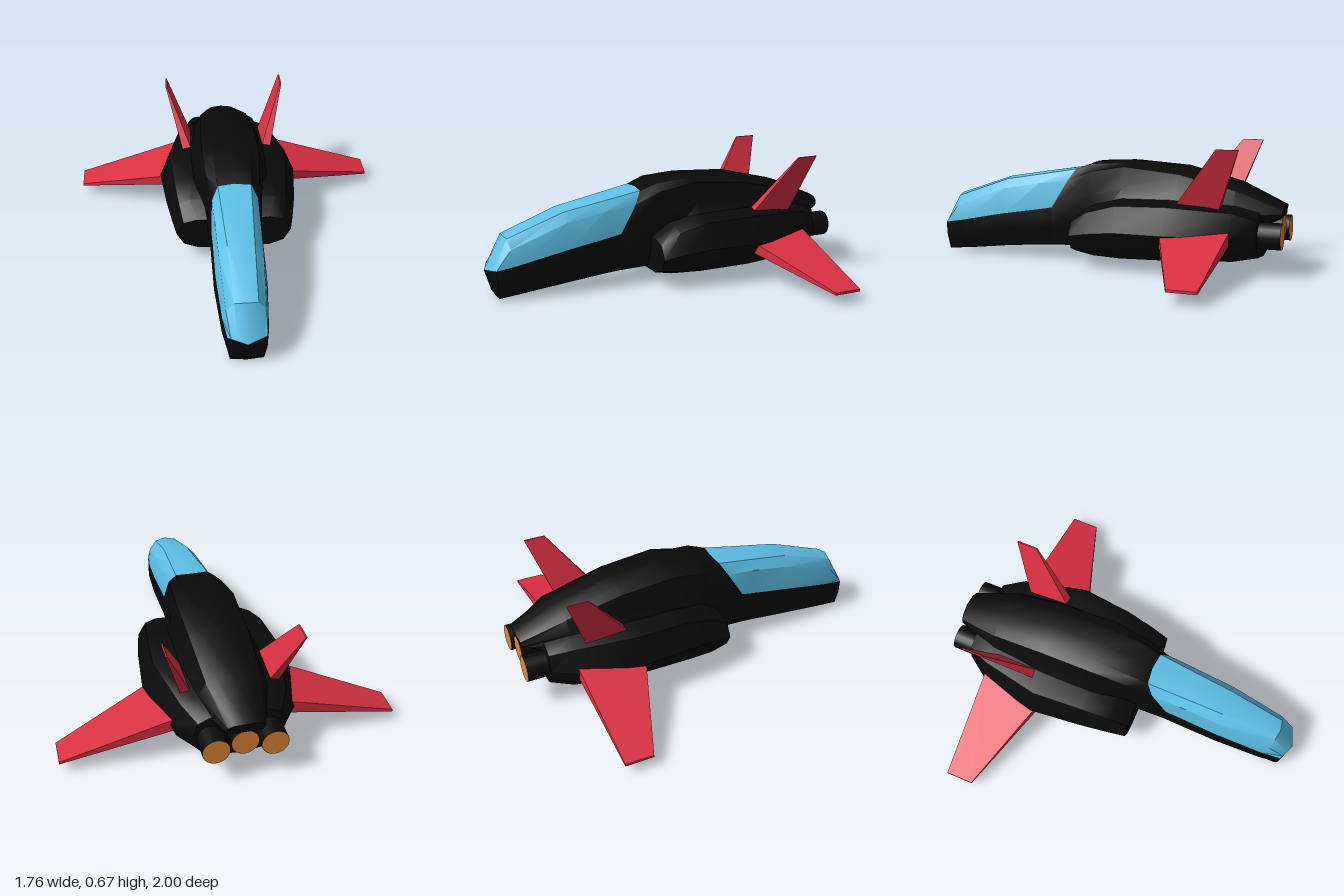
import * as THREE from 'three';
import { toCreasedNormals } from 'three/addons/utils/BufferGeometryUtils.js';

const paint = (name, color) => {
  const m = new THREE.MeshStandardMaterial({ color });
  m.name = name;
  return m;
};

// Mirror a half section (listed top to bottom on +x) into a full one.
function fullSection(half) {
  const flip = half.map(([x, y, z]) => [-x, y, z]).reverse();
  return half[0][0] === 0 ? [...flip, ...half.slice(1)] : [...half, ...flip.slice(1)];
}

// Skin between half sections, nose to tail; optional cap centres close the ends.
function loft(halves, frontCap, backCap) {
  const rings = halves.map(fullSection);
  const n = rings[0].length;
  const pos = rings.flat(2);
  const index = [];
  for (let i = 0; i < rings.length - 1; i++) {
    for (let j = 0; j < n - 1; j++) {
      const a = i * n + j, c = a + n;
      index.push(a, a + 1, c, a + 1, c + 1, c);
    }
  }
  const cap = (centre, start, front) => {
    if (!centre) return;
    const mid = pos.length / 3;
    pos.push(...centre);
    for (let j = start; j < start + n - 1; j++) {
      index.push(mid, front ? j + 1 : j, front ? j : j + 1);
    }
  };
  cap(frontCap, 0, true);
  cap(backCap, (rings.length - 1) * n, false);
  const geo = new THREE.BufferGeometry();
  geo.setAttribute('position', new THREE.Float32BufferAttribute(pos, 3));
  geo.setIndex(index);
  return toCreasedNormals(geo, 0.6);
}

// Tapered slab from 8 corners, indexed outboard*4 + top*2 + front.
function slab(corners, side) {
  const geo = new THREE.BoxGeometry(1, 1, 1);
  const p = geo.attributes.position;
  for (let i = 0; i < p.count; i++) {
    const k = (p.getX(i) * side > 0 ? 4 : 0) + (p.getY(i) > 0 ? 2 : 0) + (p.getZ(i) > 0 ? 1 : 0);
    const [x, y, z] = corners[k];
    p.setXYZ(i, x * side, y, z);
  }
  geo.computeVertexNormals();
  return geo;
}

// Add one z to a list of [x, y] points.
const at = (z, pts) => pts.map(([x, y]) => [x, y, z]);

export function createModel() {
  const black = paint('hull black', 0x0a0a0a);
  const blue = paint('canopy blue', 0x5fc3ea);
  const red = paint('wing red', 0xd93042);
  const orange = paint('exhaust orange', 0xe08836);

  const model = new THREE.Group();
  model.name = 'spacecraft';
  const add = (name, geo, mat) => {
    const mesh = new THREE.Mesh(geo, mat);
    mesh.name = name;
    model.add(mesh);
    return mesh;
  };

  // Nose: the first four points of each section are glass, the rest hull
  const nose = [
    [[0, 0.16, 1], [0.05, 0.1675, 0.98], [0.08, 0.172, 0.968], [0.1, 0.175, 0.96],
      [0.1, 0.1, 0.955], [0.085, 0.02, 0.945], [0, 0.005, 0.94]],
    [[0, 0.34, 0.9], [0.06, 0.33, 0.89], [0.1, 0.28, 0.88], [0.115, 0.195, 0.85],
      [0.118, 0.11, 0.85], [0.09, 0.03, 0.85], [0, 0.013, 0.85]],
    at(0.58, [[0, 0.45], [0.07, 0.44], [0.115, 0.39], [0.132, 0.25],
      [0.14, 0.16], [0.1, 0.06], [0, 0.045]]),
    at(0.36, [[0, 0.487], [0.08, 0.478], [0.12, 0.43], [0.132, 0.285],
      [0.14, 0.18], [0.1, 0.08], [0, 0.06]]),
    [[0, 0.52, 0.14], [0.09, 0.515, 0.15], [0.125, 0.45, 0.19], [0.134, 0.3, 0.28],
      [0.14, 0.19, 0.28], [0.1, 0.085, 0.28], [0, 0.067, 0.28]],
  ];
  add('canopy', loft(nose.map((s) => s.slice(0, 4))), blue);
  add('noseHull', loft(nose.map((s) => s.slice(3)), [0, 0.16, 1]), black);

  // Raised spine running from the canopy to the tail
  add('spine', loft([
    nose[4],
    at(0.05, [[0, 0.555], [0.1, 0.55], [0.145, 0.51], [0.16, 0.38], [0.15, 0.2], [0.1, 0.09], [0, 0.075]]),
    at(-0.15, [[0, 0.57], [0.1, 0.56], [0.16, 0.545], [0.185, 0.43], [0.22, 0.36], [0.15, 0.15], [0, 0.1]]),
    at(-0.45, [[0, 0.55], [0.1, 0.54], [0.155, 0.515], [0.19, 0.42], [0.23, 0.36], [0.15, 0.15], [0, 0.1]]),
    at(-0.75, [[0, 0.47], [0.09, 0.465], [0.14, 0.44], [0.175, 0.37], [0.2, 0.32], [0.14, 0.2], [0, 0.15]]),
    [[0, 0.36, -1], [0.06, 0.355, -0.995], [0.09, 0.34, -0.99], [0.1, 0.32, -0.985],
      [0.09, 0.305, -0.985], [0.06, 0.3, -0.985], [0, 0.3, -0.985]],
  ], null, [0, 0.325, -0.99]), black);

  // Broad body with blunt front shoulders
  add('body', loft([
    at(0.11, [[0, 0.25], [0.2, 0.27], [0.28, 0.25], [0.32, 0.18], [0.28, 0.11], [0.2, 0.08], [0, 0.075]]),
    at(0.01, [[0, 0.33], [0.24, 0.34], [0.3, 0.31], [0.342, 0.2], [0.3, 0.1], [0.2, 0.06], [0, 0.055]]),
    at(-0.15, [[0, 0.37], [0.22, 0.38], [0.32, 0.355], [0.37, 0.22], [0.33, 0.12], [0.23, 0.06], [0, 0.03]]),
    at(-0.43, [[0, 0.39], [0.22, 0.385], [0.34, 0.365], [0.4, 0.225], [0.36, 0.145], [0.27, 0.075], [0, 0.05]]),
    at(-0.76, [[0, 0.37], [0.2, 0.365], [0.27, 0.34], [0.32, 0.22], [0.29, 0.145], [0.23, 0.085], [0, 0.06]]),
    at(-0.88, [[0, 0.33], [0.15, 0.33], [0.21, 0.3], [0.235, 0.22], [0.21, 0.15], [0.17, 0.1], [0, 0.08]]),
  ], [0, 0.16, 0.11], [0, 0.2, -0.91]), black);

  // Drooping wings and splayed tail fins
  const wing = [
    [0.3, 0.18, -0.757], [0.3, 0.18, -0.385], [0.3, 0.25, -0.757], [0.3, 0.245, -0.385],
    [0.88, 0.062, -0.74], [0.88, 0.062, -0.59], [0.88, 0.075, -0.74], [0.88, 0.075, -0.59],
  ];
  const fin = [
    [0.2, 0.35, -0.69], [0.2, 0.35, -0.45], [0.338, 0.67, -0.805], [0.338, 0.67, -0.69],
    [0.255, 0.35, -0.69], [0.255, 0.35, -0.45], [0.346, 0.67, -0.805], [0.346, 0.67, -0.69],
  ];
  for (const [side, label] of [[1, 'left'], [-1, 'right']]) {
    add(label + 'Wing', slab(wing, side), red);
    add(label + 'Fin', slab(fin, side), red);
  }

  // Three engines with glowing rear discs
  for (const [name, x, y, end] of [
    ['leftEngine', 0.148, 0.215, -1], ['middleEngine', 0, 0.235, -0.985], ['rightEngine', -0.148, 0.215, -1],
  ]) {
    const geo = new THREE.CylinderGeometry(0.07, 0.07, 0.2, 20).rotateX(-Math.PI / 2);
    add(name, geo, [black, orange, black]).position.set(x, y, end + 0.1);
  }
  return model;
}
